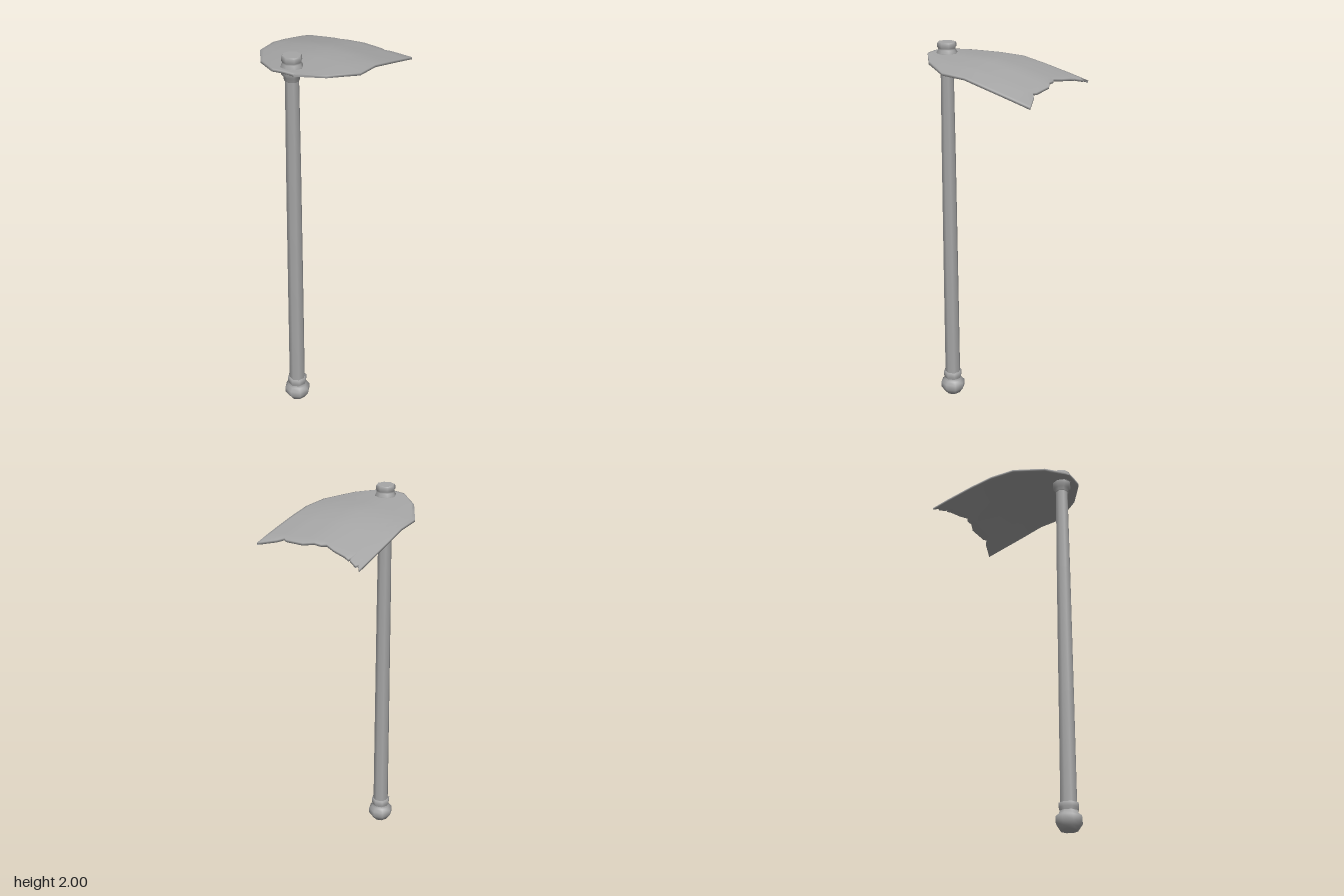
import * as THREE from 'three';

const steel = new THREE.MeshStandardMaterial({ color: 0xa6a6a6 });
steel.name = 'worn grey';

// Turned octagonal part around the handle axis, profile listed bottom to top
function turned(name, profile) {
  const points = profile.map(([r, y]) => new THREE.Vector2(r, y));
  const mesh = new THREE.Mesh(new THREE.LatheGeometry(points, 8), steel);
  mesh.name = name;
  mesh.position.z = 0.28;
  return mesh;
}

// Height of the blade: bent down towards the back and towards both sides
function bladeHeight(x, z) {
  const ridge = z > 0 ? 1.933 + 0.03 * z : 1.933 + 0.2 * z - 0.1 * z * z;
  return ridge - 0.03 * Math.pow(Math.abs(x) / 0.29, 1.6);
}

function bladeGeometry() {
  // Chipped back edge, left to right in x
  const chipped = [
    [-0.295, -0.36], [-0.272, -0.334], [-0.265, -0.345], [-0.223, -0.326],
    [-0.22, -0.308], [-0.212, -0.326], [-0.185, -0.316], [-0.115, -0.305],
    [-0.063, -0.287], [-0.04, -0.3], [0, -0.3], [0.05, -0.322],
    [0.155, -0.315], [0.173, -0.303], [0.2, -0.325], [0.28, -0.354], [0.295, -0.36],
  ];
  // Rows from the front lip: z and half width
  const rows = [[0.355, 0.058], [0.343, 0.076], [0.27, 0.175], [0.2, 0.223],
    [0.13, 0.271], [0, 0.28], [-0.12, 0.289], [-0.27, 0.294]];
  const grid = rows.map(([z, w]) => chipped.map(([x]) => [x / 0.295 * w, z]));
  grid.push(chipped);

  const nR = grid.length, nC = chipped.length, count = nR * nC;
  const positions = [], index = [];
  for (const side of [1, -1]) {
    for (const row of grid) {
      for (const [x, z] of row) positions.push(x, bladeHeight(x, z) + side * 0.006, z);
    }
  }
  const quad = (a, b, c, d) => index.push(a, b, c, a, c, d);
  // Upper and lower skins
  for (let r = 0; r < nR - 1; r++) {
    for (let c = 0; c < nC - 1; c++) {
      const a = r * nC + c, b = a + 1, d = a + nC, e = d + 1;
      quad(a, b, e, d);
      quad(a + count, d + count, e + count, b + count);
    }
  }
  // Rim walls
  const wall = (a, b) => quad(a, a + count, b + count, b);
  for (let c = 0; c < nC - 1; c++) {
    wall(c, c + 1);
    wall((nR - 1) * nC + c + 1, (nR - 1) * nC + c);
  }
  for (let r = 0; r < nR - 1; r++) {
    wall((r + 1) * nC, r * nC);
    wall(r * nC + nC - 1, (r + 1) * nC + nC - 1);
  }
  const geometry = new THREE.BufferGeometry();
  geometry.setAttribute('position', new THREE.Float32BufferAttribute(positions, 3));
  geometry.setIndex(index);
  geometry.computeVertexNormals();
  return geometry;
}

export function createModel() {
  const hoe = new THREE.Group();
  hoe.name = 'hoe';

  hoe.add(turned('handle', [[0.042, 0.1], [0.04, 0.7], [0.037, 1.4], [0.033, 1.9]]));

  // Rounded end knob with a collar
  hoe.add(turned('knob', [[0, 0], [0.043, 0.006], [0.054, 0.022], [0.067, 0.042],
    [0.067, 0.072], [0.05, 0.086], [0.046, 0.1]]));
  hoe.add(turned('knobCollar', [[0.045, 0.085], [0.046, 0.1], [0.051, 0.115],
    [0.051, 0.137], [0.041, 0.14]]));

  // Socket below the blade and cap above it
  hoe.add(turned('socket', [[0.032, 1.876], [0.037, 1.88], [0.04, 1.9], [0.05, 1.912], [0.05, 1.935]]));
  hoe.add(turned('cap', [[0.053, 1.935], [0.053, 1.95], [0.045, 1.964], [0.045, 1.972],
    [0.049, 1.978], [0.049, 1.993], [0.045, 2]]));
  hoe.add(turned('capTop', [[0.045, 2], [0, 2]]));

  const blade = new THREE.Mesh(bladeGeometry(), steel);
  blade.name = 'blade';
  hoe.add(blade);
  return hoe;
}
